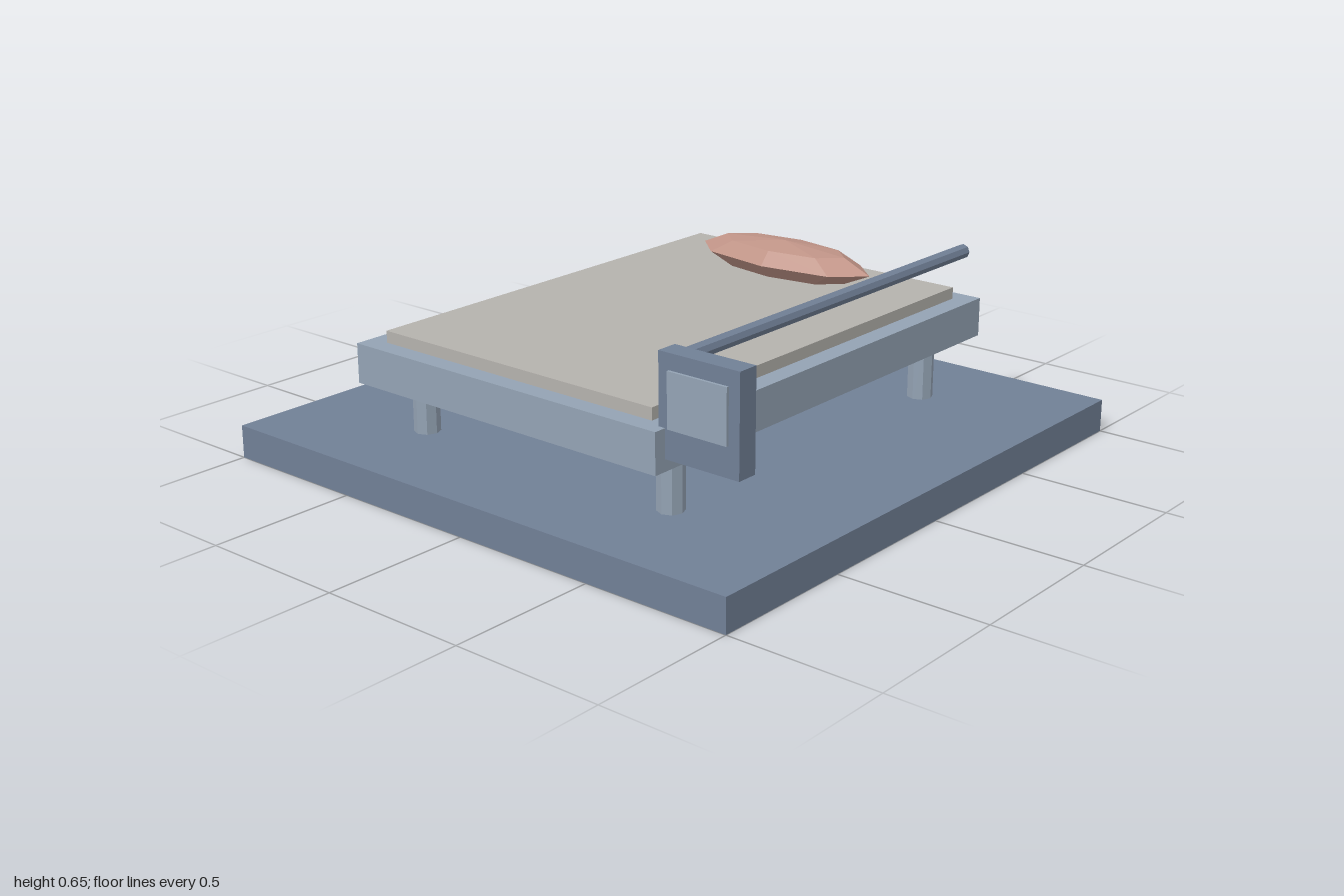
import * as THREE from 'three';

const material = (name, color) => {
  const m = new THREE.MeshStandardMaterial({ color });
  m.name = name;
  return m;
};

export function createModel() {
  const model = new THREE.Group();
  model.name = 'bedOnPlatform';

  const slate = material('slate blue', 0x718096);
  const paleSlate = material('pale slate', 0x94a3b4);
  const linen = material('linen', 0xb5b2ad);
  const rose = material('dusty rose', 0xc09487);

  const add = (name, geometry, mat, x, y, z) => {
    const mesh = new THREE.Mesh(geometry, mat);
    mesh.name = name;
    mesh.position.set(x, y, z);
    model.add(mesh);
    return mesh;
  };
  // Box given by its lower and upper corners
  const box = (name, mat, [x0, y0, z0], [x1, y1, z1]) =>
    add(name, new THREE.BoxGeometry(x1 - x0, y1 - y0, z1 - z0), mat,
      (x0 + x1) / 2, (y0 + y1) / 2, (z0 + z1) / 2);
  // Faceted geometry with one normal per face
  const facet = (geometry) => {
    const g = geometry.toNonIndexed();
    g.computeVertexNormals();
    return g;
  };

  // Platform, bed frame and mattress
  box('platform', slate, [-1, 0, -1], [1, 0.11, 1]);
  box('bedFrame', paleSlate, [-0.612, 0.298, -0.832], [0.612, 0.428, 0.832]);
  box('mattress', linen, [-0.545, 0.40, -0.768], [0.545, 0.467, 0.768]);

  // Four eight-sided legs
  for (const x of [-0.51, 0.51])
    for (const z of [-0.645, 0.645])
      add('leg', facet(new THREE.CylinderGeometry(0.043, 0.043, 0.22, 8)), paleSlate, x, 0.205, z);

  // Pillow: a flattened faceted ball
  const ball = new THREE.SphereGeometry(1, 8, 4);
  ball.scale(0.352, 0.064, 0.132);
  add('pillow', facet(ball), rose, 0, 0.515, -0.558);

  // Side rail running along the left edge
  const rail = new THREE.CylinderGeometry(0.024, 0.024, 1.445, 8);
  rail.rotateX(Math.PI / 2);
  add('sideRail', facet(rail), slate, 0.585, 0.602, -0.035);

  // Control box with its display plate
  box('controlBox', slate, [0.588, 0.336, 0.72], [0.874, 0.65, 0.79]);
  box('display', paleSlate, [0.626, 0.43, 0.79], [0.836, 0.60, 0.799]);

  return model;
}
